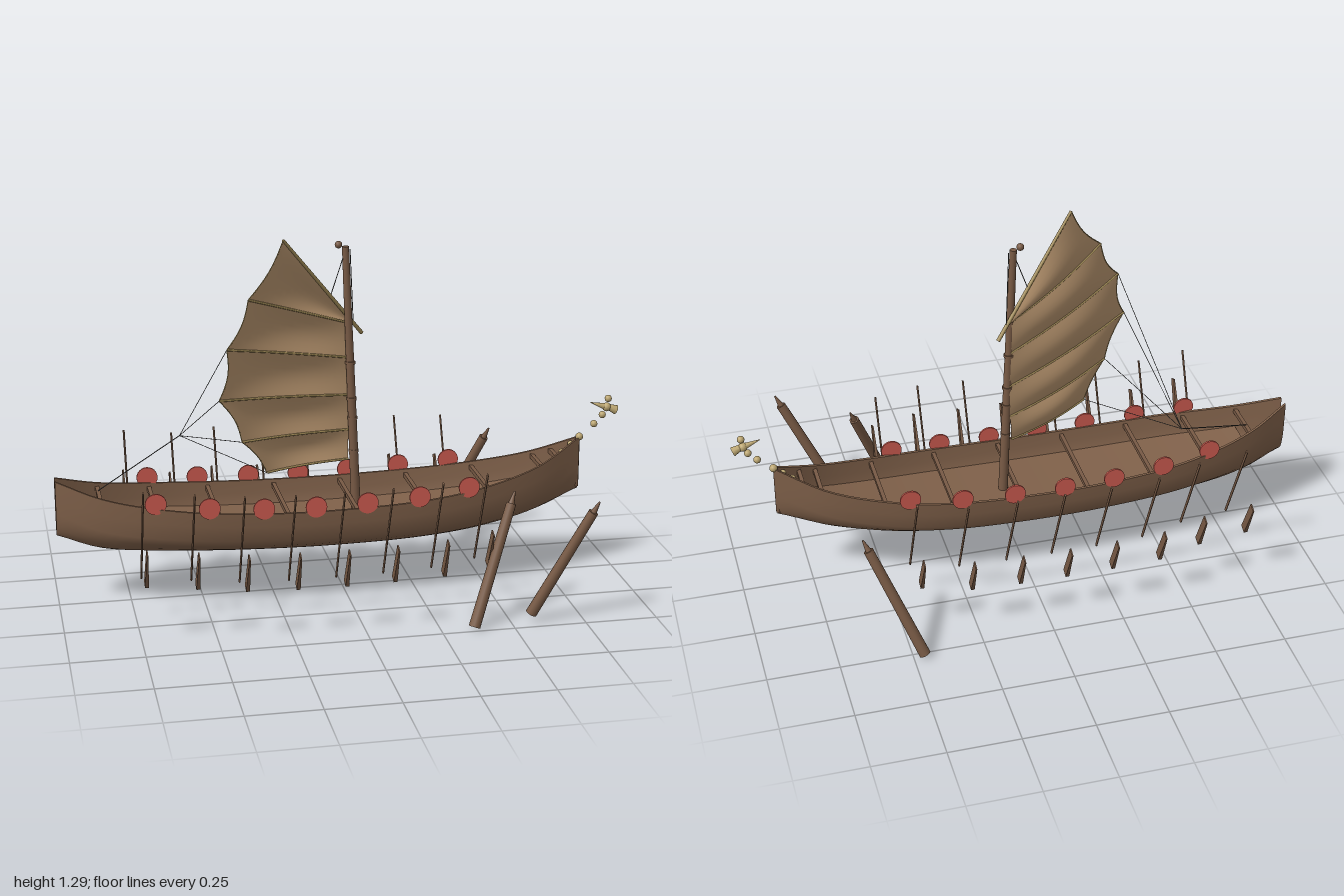
import * as THREE from 'three';

const material = (name, color, side = THREE.FrontSide) =>
  Object.assign(new THREE.MeshStandardMaterial({ color, side }), { name });
const hullWood = material('hull wood', 0x80614a, THREE.DoubleSide);
const wood = material('spar wood', 0x785a45);
const canvas = material('sail canvas', 0xb8956f, THREE.DoubleSide);
const bamboo = material('bamboo', 0xa38d59);
const carved = material('carved figurehead', 0xbda772);
const red = material('shield red', 0xc9594e);
const rope = material('rope', 0x4a4a48);

const V = (x, y, z) => new THREE.Vector3(x, y, z);
const UP = V(0, 1, 0);

function add(parent, name, geometry, mat, position) {
  const mesh = new THREE.Mesh(geometry, mat);
  mesh.name = name;
  if (position) mesh.position.copy(position);
  parent.add(mesh);
  return mesh;
}

// Round bar from a to b, ra at a and rb at b
function bar(parent, name, a, b, ra, rb, mat, sides = 10) {
  const dir = b.clone().sub(a);
  const mesh = add(parent, name, new THREE.CylinderGeometry(rb, ra, dir.length(), sides), mat,
    a.clone().add(b).multiplyScalar(0.5));
  mesh.quaternion.setFromUnitVectors(UP, dir.normalize());
  return mesh;
}

// Surface through rows of points
function loft(rows) {
  const n = rows[0].length, index = [];
  for (let i = 0; i < rows.length - 1; i++)
    for (let j = 0; j < n - 1; j++) {
      const a = i * n + j, b = a + n;
      index.push(a, b, a + 1, b, b + 1, a + 1);
    }
  const g = new THREE.BufferGeometry().setFromPoints(rows.flat());
  g.setIndex(index);
  g.computeVertexNormals();
  return g;
}

// Hull lines: rail height, keel height and half width along x
const stations = [-1, -0.85, -0.6, -0.3, 0, 0.3, 0.5, 0.7, 0.86];
const lines = [
  0.46, 0.258, 0.026, 0.41, 0.205, 0.092, 0.372, 0.186, 0.158, 0.352, 0.174, 0.184, 0.35, 0.171, 0.187,
  0.362, 0.18, 0.174, 0.385, 0.2, 0.142, 0.43, 0.243, 0.085, 0.5, 0.308, 0.01];
const curve = new THREE.CubicInterpolant(stations, lines, 3, new Float32Array(3));
function hullAt(x) {
  const [top, keel, width] = curve.evaluate(x);
  return { top, keel, width };
}
const section = [[1, 1], [0.975, 0.72], [0.92, 0.42], [0.81, 0.275], [0.63, 0.155], [0.42, 0.065], [0.2, 0.015], [0, 0]];
const fullSection = [...section, ...section.slice(0, -1).reverse().map(([s, h]) => [-s, h])];

function span(x0, x1, n, row) {
  return loft(Array.from({ length: n + 1 }, (_, i) => row(x0 + (x1 - x0) * i / n)));
}

function buildHull(boat) {
  const hull = new THREE.Group();
  hull.name = 'hull';
  boat.add(hull);
  const shell = (inset) => (x) => {
    const { top, keel, width } = hullAt(x), w = Math.max(width - inset, 0.002);
    return fullSection.map(([s, h]) => V(x, keel + inset + (top - keel - inset) * h, w * s));
  };
  add(hull, 'outerPlanking', span(-1, 0.86, 48, shell(0)), hullWood);
  add(hull, 'innerPlanking', span(-1, 0.86, 48, shell(0.01)), hullWood);
  for (const s of [1, -1])
    add(hull, 'rail', span(-1, 0.86, 48, (x) => {
      const { top, width } = hullAt(x);
      return [V(x, top, s * width), V(x, top, s * Math.max(width - 0.01, 0.002))];
    }), hullWood);
  add(hull, 'deck', span(-0.85, 0.82, 36, (x) => {
    const { top, width } = hullAt(x), w = Math.max(width * 0.95 - 0.009, 0.003);
    return [V(x, top - 0.085, w), V(x, top - 0.085, -w)];
  }), hullWood);
  // Low transom that leaves a notch between the stern rails
  const stern = hullAt(-1);
  add(hull, 'transom', loft(section.slice(1).map(([s, h]) =>
    [1, -1].map((side) => V(-1, stern.keel + (stern.top - stern.keel) * h, side * s * stern.width)))), hullWood);
  // Thwarts between the rails
  for (const x of [-0.85, -0.665, -0.455, -0.215, 0.025, 0.265, 0.5, 0.71, 0.77]) {
    const { top, width } = hullAt(x);
    add(hull, 'thwart', new THREE.BoxGeometry(0.014, 0.016, 2 * width - 0.01), wood, V(x, top - 0.02, 0));
  }
  bar(hull, 'stemPost', V(0.856, 0.315, 0), V(0.856, 0.505, 0), 0.008, 0.008, wood);
}

function buildFigurehead(boat) {
  const head = new THREE.Group();
  head.name = 'figurehead';
  boat.add(head);
  const beads = [[0.80, 0.445, 0.013], [0.83, 0.475, 0.011], [0.862, 0.5, 0.014], [0.915, 0.545, 0.013],
    [0.945, 0.577, 0.013], [0.96, 0.605, 0.016], [0.965, 0.636, 0.013]];
  for (const [x, y, r] of beads) add(head, 'neckBead', new THREE.SphereGeometry(r, 12, 8), carved, V(x, y, 0));
  bar(head, 'crest', V(0.9, 0.625, 0), V(0.96, 0.605, 0), 0.001, 0.013, carved);
  bar(head, 'snout', V(0.95, 0.612, 0), V(0.995, 0.592, 0), 0.007, 0.017, carved);
}

// Battens of the sail, top to bottom: luff end then leech end
const battens = [
  [V(0.045, 0.955, -0.03), V(-0.22, 1.285, 0.112)],
  [V(0.022, 0.96, -0.012), V(-0.35, 1.105, 0.182)],
  [V(0.025, 0.835, -0.012), V(-0.43, 0.95, 0.225)],
  [V(0.032, 0.70, -0.012), V(-0.46, 0.78, 0.238)],
  [V(0.028, 0.575, -0.01), V(-0.38, 0.62, 0.2)],
  [V(0.022, 0.47, 0), V(-0.29, 0.49, 0.152)]];
const sailBack = V(-0.47, 0, -0.88);

function sailPoint(k, v, u) {
  const a = battens[k], b = battens[Math.min(k + 1, battens.length - 1)];
  const bulge = Math.sin(Math.PI * v);
  const luff = a[0].clone().lerp(b[0], v);
  const leech = a[1].clone().lerp(b[1], v);
  const camber = 0.014 * Math.sin(Math.PI * u) * (k === 0 ? v : 1);
  return luff.lerp(leech, u * (1 - 0.04 * bulge))
    .addScaledVector(sailBack, camber + 0.018 * bulge * Math.sin(Math.PI * Math.min(1, u * 0.88 + 0.08)));
}

function buildRig(boat) {
  const rig = new THREE.Group();
  rig.name = 'rig';
  boat.add(rig);
  bar(rig, 'mast', V(0.051, 0.26, 0), V(0.012, 1.23, 0), 0.017, 0.012, wood, 14);
  add(rig, 'mastheadKnob', new THREE.SphereGeometry(0.013, 12, 8), wood, V(-0.012, 1.237, 0));
  for (const y of [0.5, 0.62, 0.69, 0.82])
    add(rig, 'mastBand', new THREE.CylinderGeometry(0.0175, 0.0175, 0.01, 14), wood,
      V(0.05 - (y - 0.29) * 0.04, y, 0));

  for (let k = 0; k < battens.length - 1; k++) {
    const rows = Array.from({ length: 9 }, (_, i) =>
      Array.from({ length: 17 }, (_, j) => sailPoint(k, i / 8, j / 16)));
    add(rig, 'sailPanel', loft(rows), canvas);
    // Bolt rope on the scalloped edge
    add(rig, 'leechRope', new THREE.TubeGeometry(
      new THREE.CatmullRomCurve3(rows.map((r) => r[16])), 8, 0.0018, 5), bamboo);
  }
  for (let k = 1; k < battens.length; k++) {
    const path = new THREE.CatmullRomCurve3([0, 0.25, 0.5, 0.75, 1].map((u) => sailPoint(k, 0, u)));
    add(rig, 'batten', new THREE.TubeGeometry(path, 16, 0.004, 6), bamboo);
  }
  bar(rig, 'yard', V(0.078, 0.912, -0.046), battens[0][1], 0.007, 0.005, bamboo);

  // Sheets gather at one point, then lead to the stern
  const gather = V(-0.548, 0.533, -0.18);
  for (const [, leech] of battens.slice(2)) bar(rig, 'sheet', leech, gather, 0.0012, 0.0012, rope, 5);
  bar(rig, 'mainSheet', gather, V(-0.85, 0.4, -0.03), 0.0018, 0.0018, rope, 5);
  bar(rig, 'halyard', V(0.028, 1.22, 0), V(0.045, 0.96, -0.03), 0.0016, 0.0016, rope, 5);
  bar(rig, 'halyard', V(0.01, 1.21, 0), V(-0.045, 1.06, 0.02), 0.0016, 0.0016, rope, 5);
}

function buildOarsAndShields(boat) {
  const oarX = [-0.73, -0.56, -0.4, -0.23, -0.065, 0.1, 0.27, 0.435];
  const shieldX = [-0.67, -0.49, -0.305, -0.125, 0.055, 0.24, 0.42];
  // Flat blade, thinned towards its outer end
  const blade = new THREE.BoxGeometry(0.013, 0.145, 0.03);
  const corners = blade.attributes.position;
  for (let i = 0; i < corners.count; i++)
    if (corners.getY(i) > 0) corners.setX(i, corners.getX(i) * 0.35);
  blade.computeVertexNormals();

  for (const s of [1, -1]) {
    oarX.forEach((x, i) => {
      const end = i < 2 || i === 7, z = end ? 0 : 0.045;
      const y = end ? hullAt(x).top - 0.385 : hullAt(x).top - 0.375;
      const oar = new THREE.Group();
      oar.name = 'oar';
      oar.position.set(x, y, 0);
      boat.add(oar);
      bar(oar, 'oarShaft', V(0, 0.15, s * (0.185 + z)), V(0, 0.51, s * (0.345 + z)),
        0.006, 0.006, wood, 8).scale.x = 0.6;
      add(oar, 'oarBlade', blade, wood, V(0, 0.265, s * (0.4 + z))).rotation.x = s * 0.42;
    });
    for (const x of shieldX) {
      const { top, width } = hullAt(x);
      add(boat, 'shield', new THREE.CylinderGeometry(0.037, 0.037, 0.007, 24), red,
        V(x, top + 0.018, s * (width - 0.001))).rotation.x = Math.PI / 2;
    }
  }
}

// Loose pointed stakes beside the bow
function buildStakes(boat) {
  const stakes = [
    [V(0.57, 0.028, 0.448), V(0.772, 0.445, 0.53)],
    [V(0.362, 0.008, 0.483), V(0.527, 0.44, 0.358)],
    [V(0.462, 0.012, -0.522), V(0.632, 0.425, -0.383)]];
  for (const [foot, tip] of stakes) {
    const neck = foot.clone().lerp(tip, 0.91);
    bar(boat, 'stake', foot, neck, 0.02, 0.017, wood, 14);
    bar(boat, 'stakeTip', neck, tip, 0.011, 0.003, wood, 10);
  }
}

export function createModel() {
  const boat = new THREE.Group();
  boat.name = 'longboat';
  buildHull(boat);
  buildFigurehead(boat);
  buildRig(boat);
  buildOarsAndShields(boat);
  buildStakes(boat);
  return boat;
}
